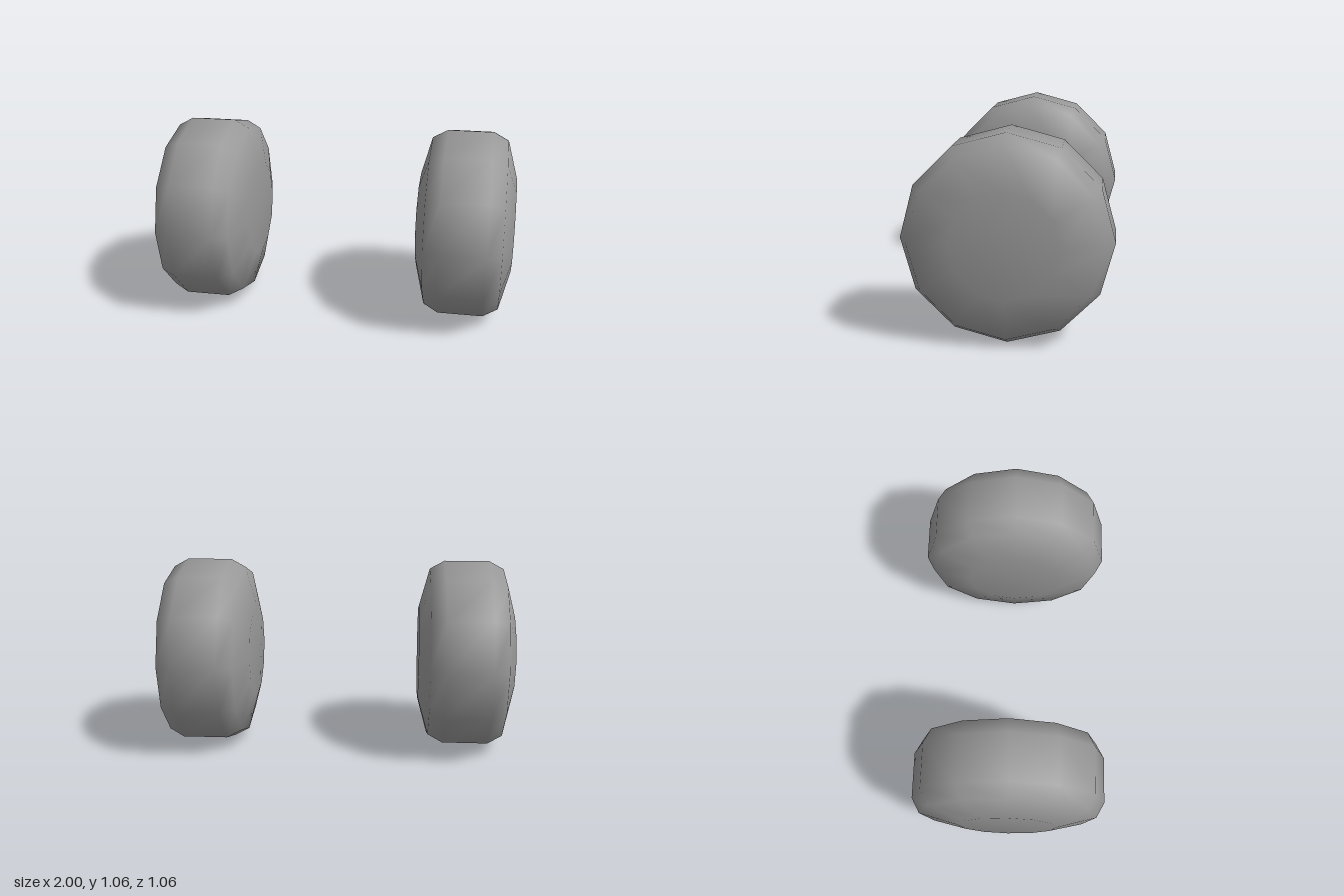
import * as THREE from 'three';

const SIDES = 12;

export function createModel() {
  const group = new THREE.Group();
  const material = new THREE.MeshStandardMaterial({ color: 0x999999 });

  // Rounded wheel profile, one half: [radius, offset along the axle, normal tilt in degrees]
  const half = [[0, 0.265, 90], [0.27, 0.265, 82], [0.485, 0.207, 52], [0.53, 0.125, 16]];
  const rings = [
    ...half.map(([r, a, t]) => [r, -a, -t]),
    ...half.slice().reverse(),
  ];

  // Twelve-sided wheel
  const wheel = new THREE.LatheGeometry(rings.map(([r, a]) => new THREE.Vector2(r, a)), SIDES);

  // Soft shading that rolls evenly from the tread over the shoulder to the hub
  const normal = wheel.attributes.normal;
  for (let i = 0; i < normal.count; i++) {
    const tilt = THREE.MathUtils.degToRad(rings[i % rings.length][2]);
    const phi = Math.floor(i / rings.length) * 2 * Math.PI / SIDES;
    normal.setXYZ(i, Math.cos(tilt) * Math.sin(phi), Math.sin(tilt), Math.cos(tilt) * Math.cos(phi));
  }
  wheel.rotateZ(Math.PI / 2); // axle onto x

  for (const side of [1, -1]) {
    const mesh = new THREE.Mesh(wheel, material);
    mesh.name = side > 0 ? 'leftWheel' : 'rightWheel';
    mesh.position.set(side * 0.735, 0.53, 0);
    group.add(mesh);
  }
  return group;
}
